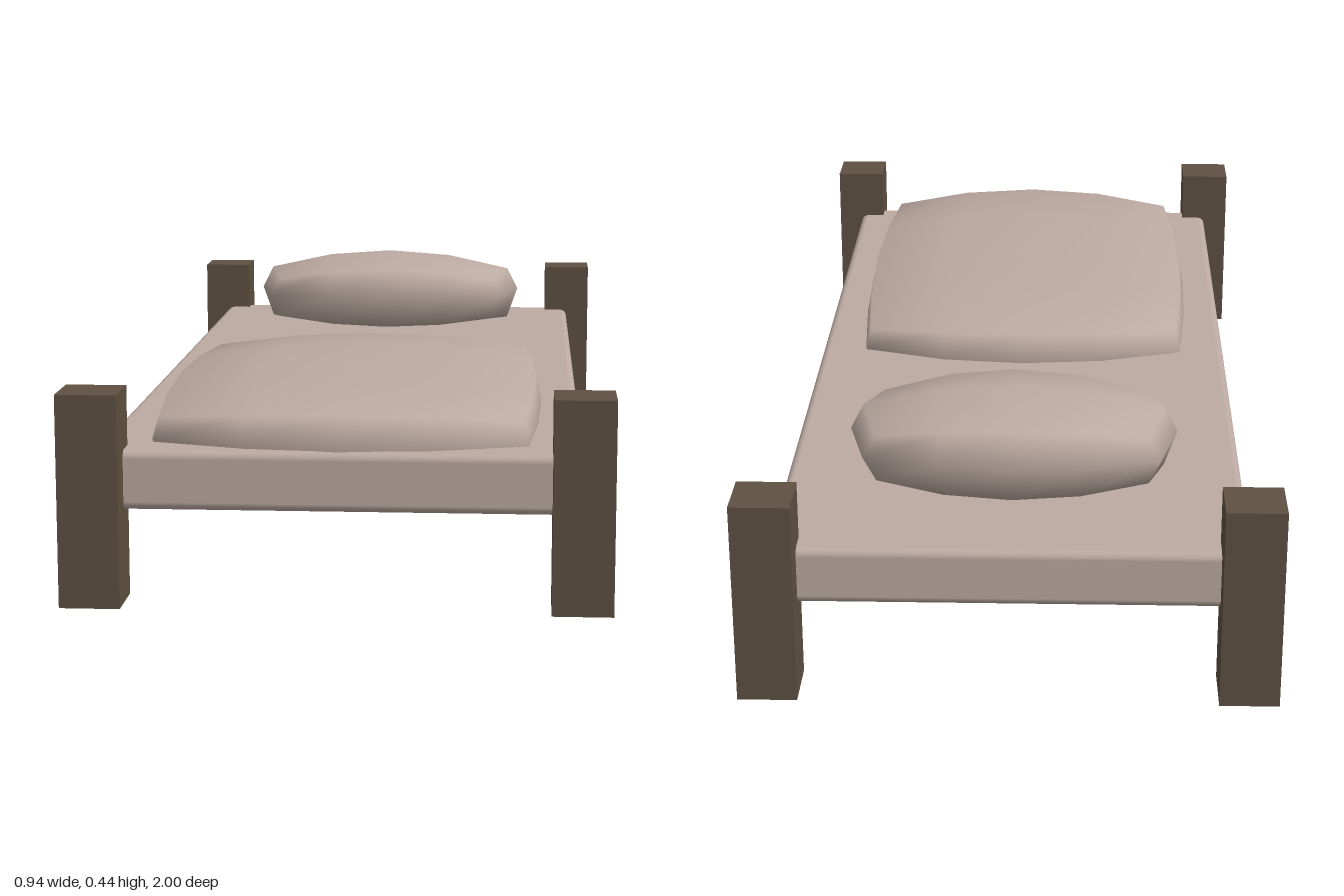
import * as THREE from 'three';
import { mergeVertices } from 'three/addons/utils/BufferGeometryUtils.js';
import { RoundedBoxGeometry } from 'three/addons/geometries/RoundedBoxGeometry.js';

// Puffed box: each axis shrinks toward the rims of the other two axes
function cushion(half, segments, shrink, flatBottom = 1) {
  const box = new THREE.BoxGeometry(2, 2, 2, ...segments);
  box.deleteAttribute('normal');
  box.deleteAttribute('uv');
  const geo = mergeVertices(box);
  const p = geo.attributes.position;
  for (let i = 0; i < p.count; i++) {
    const u = p.getX(i), v = p.getY(i), w = p.getZ(i);
    const u2 = u * u, v2 = v * v, w2 = w * w;
    const k = v < 0 ? flatBottom : 1;
    p.setXYZ(i,
      half[0] * u * (1 - shrink.x[0] * v2) * (1 - shrink.x[1] * w2),
      half[1] * v * (1 - k * shrink.y[0] * u2) * (1 - k * shrink.y[1] * w2),
      half[2] * w * (1 - shrink.z[0] * u2) * (1 - shrink.z[1] * v2));
  }
  geo.computeVertexNormals();
  return geo;
}

export function createModel() {
  const group = new THREE.Group();
  const cloth = new THREE.MeshStandardMaterial({ color: 0xbcaaa1 });
  cloth.name = 'cloth';
  const wood = new THREE.MeshStandardMaterial({ color: 0x5f5041 });
  wood.name = 'dark wood';

  const add = (name, geo, material, x, y, z) => {
    const mesh = new THREE.Mesh(geo, material);
    mesh.name = name;
    mesh.position.set(x, y, z);
    group.add(mesh);
  };

  // Mattress with softly rounded edges
  add('mattress', new RoundedBoxGeometry(0.84, 0.105, 1.89, 2, 0.015), cloth, 0, 0.2125, 0);

  // Four square posts
  const post = new THREE.BoxGeometry(0.105, 0.37, 0.105);
  for (const [side, x] of [['left', 0.42], ['right', -0.42]]) {
    for (const [end, z] of [['Front', 0.9475], ['Back', -0.9475]]) {
      add(`${side}${end}Post`, post, wood, x, 0.185, z);
    }
  }

  // Pillow at the head
  add('pillow', cushion([0.3, 0.0875, 0.187], [4, 2, 2],
    { x: [0.08, 0.11], y: [0.46, 0.33], z: [0.28, 0.2] }, 0.5), cloth, 0, 0.3525, -0.617);

  // Blanket at the foot, half sunk into the mattress
  add('blanket', cushion([0.35, 0.073, 0.505], [4, 2, 4],
    { x: [0.03, 0.06], y: [0.32, 0.25], z: [0.14, 0.02] }), cloth, 0, 0.27, 0.43);

  return group;
}
